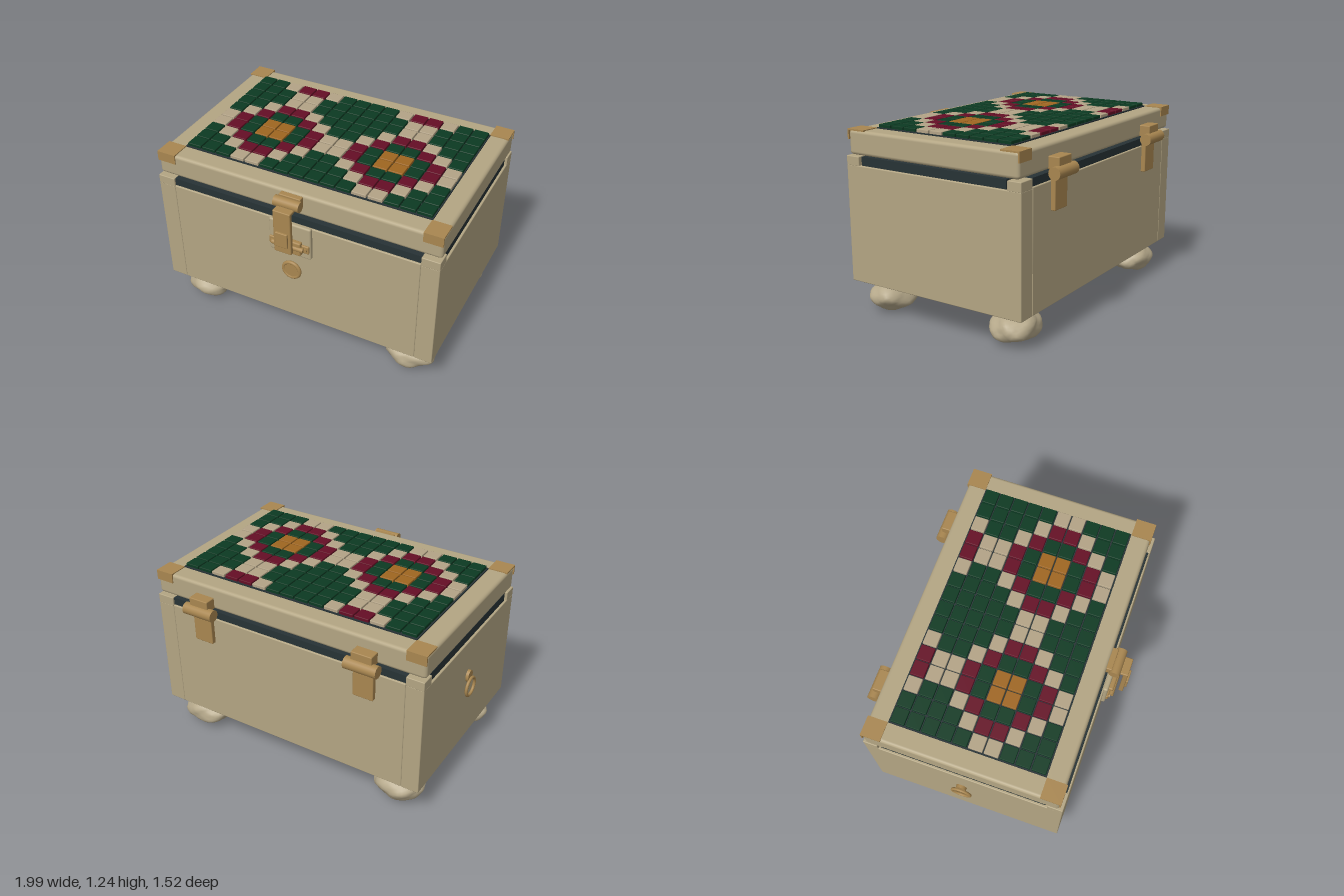
import * as THREE from 'three';
import { mergeVertices } from 'three/addons/utils/BufferGeometryUtils.js';
import { RoundedBoxGeometry } from 'three/addons/geometries/RoundedBoxGeometry.js';

const mat = (name, color) => {
  const m = new THREE.MeshStandardMaterial({ color });
  m.name = name;
  return m;
};
const M = {
  wood: mat('pale wood', 0xb3a583),
  stone: mat('pale stone', 0xb5a88a),
  brass: mat('brass', 0xa88650),
  lining: mat('dark slate', 0x273235),
  base: mat('dark brown', 0x553a25),
  green: mat('green tile', 0x0c3a22),
  red: mat('red tile', 0x650e25),
  cream: mat('cream tile', 0xb3a386),
  amber: mat('amber tile', 0x9f6620),
};

export function createModel() {
  const root = new THREE.Group();
  root.name = 'chest';

  const add = (name, geo, material, x = 0, y = 0, z = 0) => {
    const mesh = new THREE.Mesh(geo, material);
    mesh.name = name;
    mesh.position.set(x, y, z);
    root.add(mesh);
    return mesh;
  };
  // Box given by its limits on each axis, with optional rounded edges
  const box = (name, material, x0, x1, y0, y1, z0, z1, r = 0) => {
    const s = [x1 - x0, y1 - y0, z1 - z0];
    const geo = r ? new RoundedBoxGeometry(...s, 2, r) : new THREE.BoxGeometry(...s);
    return add(name, geo, material, (x0 + x1) / 2, (y0 + y1) / 2, (z0 + z1) / 2);
  };
  // Cylinder along the x or z axis
  const rod = (name, material, r, len, axis, x, y, z) => {
    const geo = new THREE.CylinderGeometry(r, r, len, 24);
    if (axis === 'x') geo.rotateZ(Math.PI / 2);
    else geo.rotateX(Math.PI / 2);
    return add(name, geo, material, x, y, z);
  };

  const CX = 0.015; // middle of the box in x
  const L = -0.965, R = 0.995, F = 0.63, B = -0.675;

  // Box walls and floor
  box('frontPanel', M.wood, -0.845, 0.875, 0.22, 0.995, 0.53, F, 0.006);
  box('backPanel', M.wood, -0.845, 0.875, 0.22, 0.995, B, -0.575, 0.006);
  box('rightPanel', M.wood, L, -0.845, 0.22, 0.99, B, F, 0.006);
  box('leftPanel', M.wood, 0.875, R, 0.22, 0.99, B, F, 0.006);
  box('floor', M.wood, -0.845, 0.875, 0.222, 0.28, -0.575, 0.53);
  box('basePlate', M.base, -0.885, 0.915, 0.185, 0.222, -0.58, 0.535, 0.008);

  // Corner blocks on top of the walls
  for (const [x0, x1] of [[L, -0.845], [0.875, R]])
    for (const [z0, z1] of [[0.53, F], [B, -0.58]])
      box('cornerBlock', M.wood, x0, x1, 0.985, 1.047, z0, z1, 0.005);

  // Dark lining showing below the lid
  box('liningFront', M.lining, -0.845, 0.875, 0.96, 1.045, 0.535, 0.618);
  box('liningBack', M.lining, -0.845, 0.875, 0.96, 1.045, -0.663, -0.58);
  box('liningRight', M.lining, -0.95, -0.855, 0.96, 1.047, -0.565, 0.518);
  box('liningLeft', M.lining, 0.885, 0.98, 0.96, 1.047, -0.565, 0.518);

  // Lid with brass corner brackets
  box('lid', M.wood, L + 0.002, R - 0.002, 1.055, 1.212, -0.657, 0.605, 0.022);
  for (const [x0, x1] of [[L, -0.835], [0.87, R]]) {
    box('bracketTop', M.brass, x0, x1, 1.208, 1.218, 0.48, 0.612);
    box('bracketFront', M.brass, x0, x1, 1.152, 1.218, 0.602, 0.612);
    box('bracketTop', M.brass, x0, x1, 1.208, 1.218, -0.664, -0.535);
    box('bracketBack', M.brass, x0, x1, 1.152, 1.218, -0.664, -0.654);
  }

  // Mosaic: one motif of eight columns, repeated twice
  box('mosaicBacking', M.lining, -0.835, 0.873, 1.2, 1.22, -0.533, 0.478);
  const rows = [
    'GGCRRCGG', 'GGGCCGGG', 'GGGCCGGG', 'GGCRRCGG', 'GCRGGRCG',
    'CRGOOGRC', 'CRGOOGRC', 'GCRGGRCG', 'GGCRRCGG', 'GGGCCGGG',
  ];
  const tileMat = { G: M.green, R: M.red, C: M.cream, O: M.amber };
  const dx = 1.7 / 16, dz = 1.0 / 10;
  const tileGeo = new RoundedBoxGeometry(dx - 0.009, 0.03, dz - 0.009, 1, 0.004);
  rows.forEach((row, j) => [...(row + row)].forEach((c, i) =>
    add('tile', tileGeo, tileMat[c], -0.83 + (i + 0.5) * dx, 1.225, -0.527 + (j + 0.5) * dz)));

  // Rough stone feet, lumpy by a sum of waves
  const foot = (x, z, seed) => {
    let geo = new THREE.IcosahedronGeometry(1, 6);
    geo.deleteAttribute('normal');
    geo.deleteAttribute('uv');
    geo = mergeVertices(geo, 1e-4);
    const p = geo.attributes.position, v = new THREE.Vector3();
    for (let i = 0; i < p.count; i++) {
      v.fromBufferAttribute(p, i);
      const n = 0.045 * Math.sin(5 * v.x + 3 * v.y + seed) + 0.04 * Math.sin(6 * v.z - 4 * v.y + 2 * seed)
        + 0.02 * Math.sin(11 * v.x + 9 * v.z + seed) * Math.cos(10 * v.y - seed);
      v.multiplyScalar(0.98 + n);
      // Slightly boxy profile
      p.setXYZ(i, v.x * 0.174, v.y * 0.098, v.z * 0.148);
    }
    geo.computeVertexNormals();
    add('foot', geo, M.stone, x, 0.102, z);
  };
  foot(-0.757, 0.455, 1);
  foot(0.79, 0.455, 2.6);
  foot(-0.757, -0.505, 4.1);
  foot(0.79, -0.505, 5.3);

  // Front latch: plate, hinge barrel, strap and staple
  box('latchPlate', M.wood, -0.13, 0.163, 0.765, 1.004, 0.62, 0.655, 0.012);
  box('latchMount', M.brass, -0.06, 0.09, 1.13, 1.2, 0.6, 0.64, 0.006);
  rod('latchBarrel', M.brass, 0.035, 0.175, 'x', CX, 1.163, 0.66);
  box('latchArm', M.brass, -0.045, 0.075, 1.13, 1.152, 0.66, 0.745, 0.006);
  box('latchStrap', M.brass, -0.045, 0.075, 0.84, 1.15, 0.715, 0.745, 0.008);
  box('latchCatch', M.brass, -0.027, 0.057, 0.893, 1.0, 0.735, 0.758, 0.005);
  box('staple', M.brass, -0.075, 0.105, 0.795, 0.895, 0.65, 0.685, 0.01);
  box('stapleFoot', M.brass, -0.125, 0.155, 0.817, 0.875, 0.65, 0.668, 0.008);
  rod('staplePin', M.brass, 0.016, 0.22, 'x', CX, 0.85, 0.68);
  for (const x of [-0.1, 0.13]) rod('rivet', M.brass, 0.014, 0.02, 'z', x, 0.846, 0.667);

  // Round boss below the latch
  rod('boss', M.brass, 0.055, 0.03, 'z', CX, 0.625, 0.636);
  add('bossRim', new THREE.TorusGeometry(0.058, 0.012, 10, 32), M.brass, CX, 0.625, 0.643);

  // Back hinges
  for (const x of [-0.58, 0.612]) {
    box('hingeLeaf', M.brass, x - 0.07, x + 0.07, 1.06, 1.138, -0.73, -0.645, 0.006);
    rod('hingeBarrel', M.brass, 0.04, 0.22, 'x', x, 1.047, -0.72);
    box('hingePlate', M.brass, x - 0.07, x + 0.07, 0.815, 1.04, -0.705, -0.67, 0.006);
  }

  // Ring pull on the side
  const mount = rod('ringMount', M.brass, 0.035, 0.025, 'x', -0.972, 0.725, -0.04);
  mount.scale.y = 1.2;
  const ring = add('pullRing', new THREE.TorusGeometry(0.062, 0.01, 10, 32), M.brass, -0.99, 0.648, -0.04);
  ring.rotation.y = Math.PI / 2;

  return root;
}
